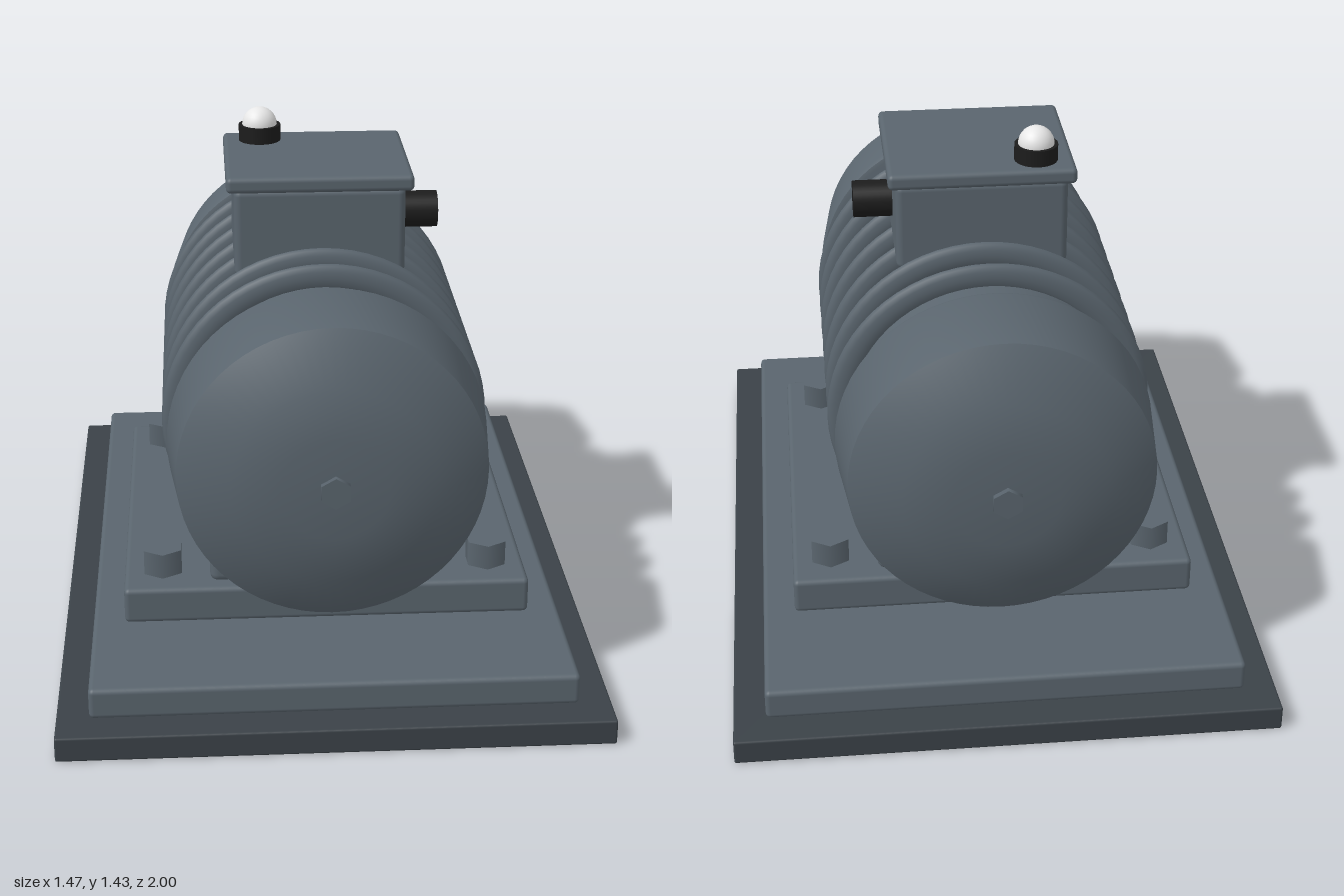
import * as THREE from 'three';
import { toCreasedNormals } from 'three/addons/utils/BufferGeometryUtils.js';
import { RoundedBoxGeometry } from 'three/addons/geometries/RoundedBoxGeometry.js';

export function createModel() {
  const paint = (name, color) => new THREE.MeshStandardMaterial({ name, color });
  const steel = paint('greySteel', 0x5a656e);
  const dark = paint('darkSteel', 0x3b4248);
  const black = paint('blackPlastic', 0x1c1c1c);
  const white = paint('whiteLens', 0xe8e8e8);

  const model = new THREE.Group();
  model.name = 'electricMotor';

  function add(name, geometry, material, x = 0, y = 0, z = 0) {
    const mesh = new THREE.Mesh(geometry, material);
    mesh.name = name;
    mesh.position.set(x, y, z);
    model.add(mesh);
    return mesh;
  }

  // Softened block given by its size and its bottom and top heights
  function block(name, width, bottom, top, depth, material, radius = 0.014) {
    const geometry = new RoundedBoxGeometry(width, top - bottom, depth, 3, radius);
    return add(name, geometry, material, 0, (bottom + top) / 2, 0);
  }

  // Stepped base
  block('basePlate', 1.474, 0, 0.07, 2, dark, 0.006);
  block('lowerPlinth', 1.3, 0.07, 0.157, 1.824, steel);
  block('upperPlinth', 1.124, 0.157, 0.26, 1.124, steel);
  block('pedestal', 0.648, 0.25, 0.5, 1.034, steel, 0.025);

  // Hex bolts on the four corners of the upper plinth
  for (const x of [-0.455, 0.455]) {
    for (const z of [-0.438, 0.438]) {
      add('mountingBolt', new THREE.CylinderGeometry(0.06, 0.06, 0.075, 6), steel, x, 0.294, z);
    }
  }

  // Motor housing along z
  const axisY = 0.695;
  const housing = new THREE.CylinderGeometry(0.385, 0.385, 1.06, 64).rotateX(Math.PI / 2);
  add('housing', housing, steel, 0, axisY, 0);

  // Cooling fins
  for (let i = -3; i <= 3; i++) {
    const fin = new THREE.TorusGeometry(0.41, 0.037, 12, 64).scale(1, 1, 0.47);
    add('coolingFin', fin, steel, 0, axisY, i * 0.131);
  }

  // End bells, each with a hex nut on its axis
  const bellProfile = [
    [0, 0.522], [0.415, 0.522], [0.427, 0.526], [0.432, 0.54], [0.407, 0.765],
    [0.27, 0.848], [0.14, 0.865], [0, 0.871],
  ].map(([r, h]) => new THREE.Vector2(r, h));
  for (const side of [1, -1]) {
    const bell = new THREE.LatheGeometry(bellProfile, 64).rotateX(Math.PI / 2);
    const end = add('endBell', toCreasedNormals(bell, 0.55), steel, 0, axisY, 0);
    end.rotation.y = side > 0 ? 0 : Math.PI;
    const nut = new THREE.CylinderGeometry(0.043, 0.043, 0.03, 6).rotateX(Math.PI / 2);
    add('axisNut', nut, steel, 0, axisY, side * 0.87);
  }

  // Terminal box with lid
  block('terminalBox', 0.474, 1.04, 1.295, 0.428, steel, 0.02);
  block('terminalLid', 0.516, 1.29, 1.335, 0.472, steel, 0.014);

  // Cable gland on the left side
  const gland = new THREE.CylinderGeometry(0.052, 0.052, 0.125, 32).rotateZ(Math.PI / 2);
  add('cableGland', gland, black, 0.2835, 1.166, 0);

  // Indicator lamp
  add('lampSocket', new THREE.CylinderGeometry(0.06, 0.06, 0.05, 32), black, -0.153, 1.356, -0.153);
  const lens = new THREE.SphereGeometry(0.05, 32, 16);
  add('lampLens', lens, white, -0.153, 1.381, -0.153);

  return model;
}
